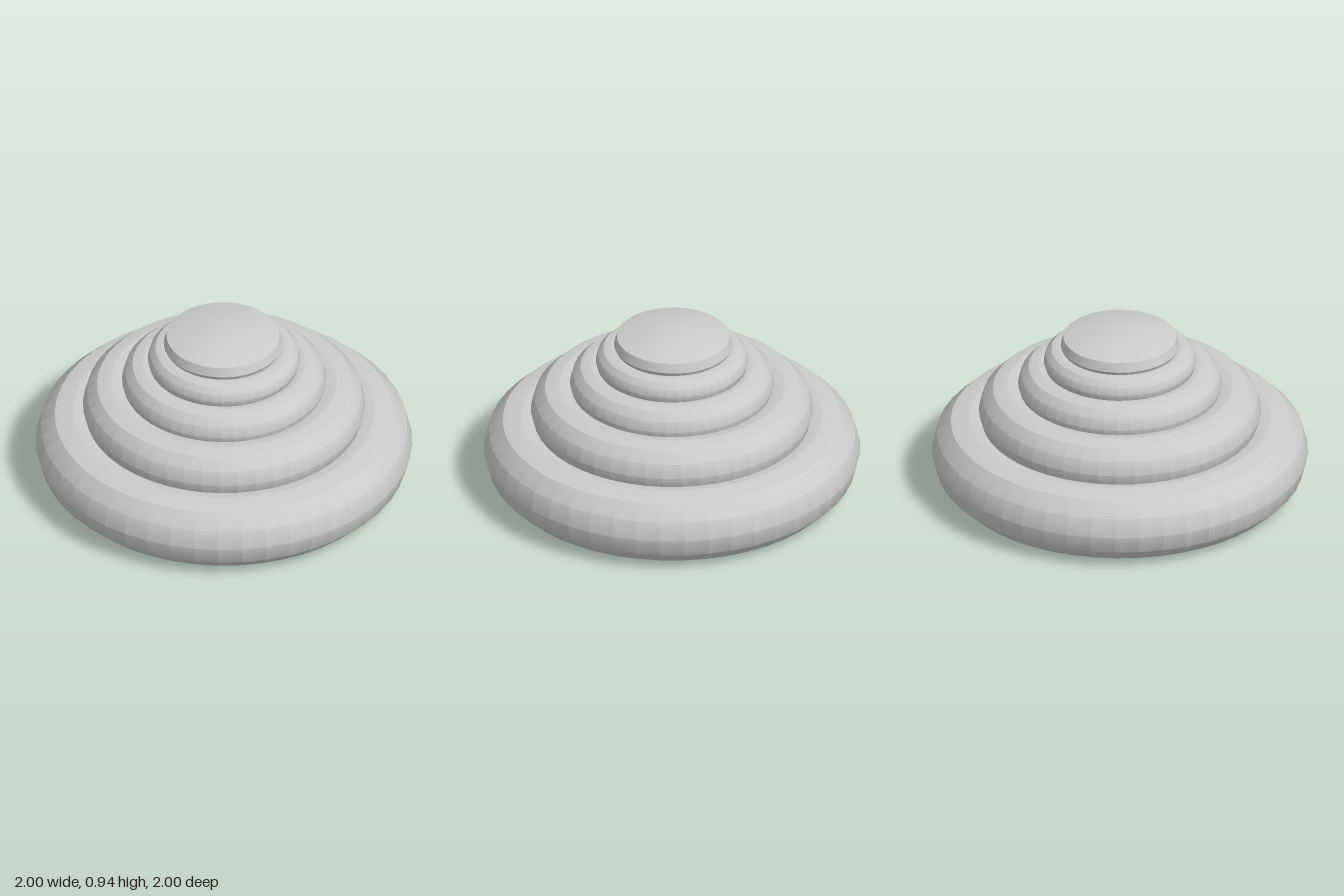
import * as THREE from 'three';
import { toCreasedNormals } from 'three/addons/utils/BufferGeometryUtils.js';

const CREASE = Math.PI / 6;

export function createModel() {
  const model = new THREE.Group();
  const material = new THREE.MeshStandardMaterial({ color: 0xcccccc });

  const add = (name, geometry) => {
    const mesh = new THREE.Mesh(toCreasedNormals(geometry, CREASE), material);
    mesh.name = name;
    model.add(mesh);
    return mesh;
  };

  // Stacked rings, open through the middle: [name, ring radius, tube radius, centre height]
  const rings = [
    ['baseRing', 0.8, 0.2, 0.2],
    ['lowerRing', 0.6, 0.15, 0.44],
    ['middleRing', 0.43, 0.112, 0.603],
    ['upperRing', 0.325, 0.08, 0.74],
  ];
  for (const [name, radius, tube, y] of rings) {
    const ring = new THREE.TorusGeometry(radius, tube, 12, 48);
    ring.rotateX(-Math.PI / 2);
    add(name, ring).position.y = y;
  }

  // Shallow domed cap closing the top
  const profile = [
    [0, 0.79], [0.22, 0.79], [0.3, 0.805], [0.315, 0.835],
    [0.3, 0.885], [0.21, 0.911], [0, 0.94],
  ].map(([x, y]) => new THREE.Vector2(x, y));
  const cap = add('cap', new THREE.LatheGeometry(profile, 48));
  cap.position.set(-0.003, 0, -0.006);

  return model;
}
